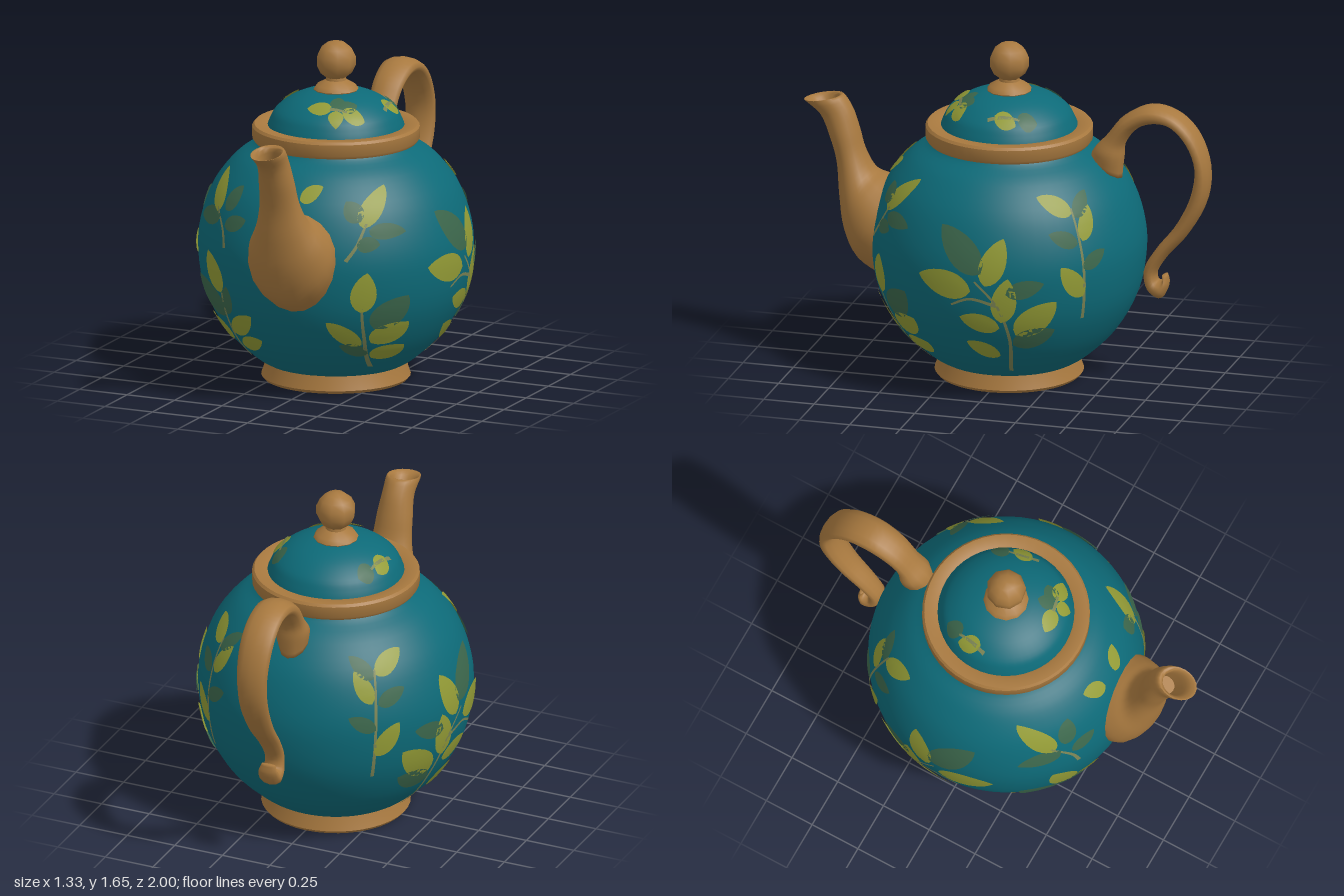
import * as THREE from 'three';
import { toCreasedNormals } from 'three/addons/utils/BufferGeometryUtils.js';

const mat = (name, color, side = THREE.FrontSide) => {
  const m = new THREE.MeshStandardMaterial({ color, side });
  m.name = name;
  return m;
};
const V2 = (p) => new THREE.Vector2(p[0], p[1]);

// Smooth profile from a few [radius, height] points
const profile = (pts, n) => new THREE.SplineCurve(pts.map(V2)).getPoints(n);

// Linear lookup: value of key b where key a equals t
function lookup(points, a, b, t) {
  for (let i = 1; i < points.length; i++) {
    const p = points[i - 1], q = points[i];
    if ((t - p[a]) * (t - q[a]) <= 0 && p[a] !== q[a]) {
      return p[b] + (q[b] - p[b]) * (t - p[a]) / (q[a] - p[a]);
    }
  }
  const f = points[0], l = points[points.length - 1];
  return Math.abs(t - f[a]) < Math.abs(t - l[a]) ? f[b] : l[b];
}

// Skin oval rings: each section is [outer z, outer y, inner z, inner y, half width]
function loft(sections, cx, sides, steps) {
  const at = (k) => new THREE.CatmullRomCurve3(
    sections.map((s) => new THREE.Vector3(s[k], s[k + 1], s[4])), false, 'centripetal');
  const outer = at(0), inner = at(2), pos = [], index = [];
  for (let i = 0; i <= steps; i++) {
    const a = outer.getPoint(i / steps), b = inner.getPoint(i / steps);
    for (let j = 0; j < sides; j++) {
      const t = (j / sides) * Math.PI * 2, c = Math.cos(t) / 2;
      pos.push(cx + (a.z + b.z) / 2 * Math.sin(t),
        (a.y + b.y) / 2 + (a.y - b.y) * c, (a.x + b.x) / 2 + (a.x - b.x) * c);
    }
  }
  for (let i = 0; i < steps; i++) for (let j = 0; j < sides; j++) {
    const k = (j + 1) % sides, p = i * sides, q = p + sides;
    index.push(p + j, p + k, q + k, p + j, q + k, q + j);
  }
  const last = steps * sides;
  for (let j = 1; j < sides - 1; j++) {
    index.push(0, j + 1, j, last, last + j, last + j + 1);
  }
  const g = new THREE.BufferGeometry();
  g.setAttribute('position', new THREE.Float32BufferAttribute(pos, 3));
  g.setIndex(index);
  g.computeVertexNormals();
  return g;
}

// Flat ribbon along 2D points, laid onto a surface by project(u, v)
function ribbon(pts, width, project, rows) {
  const curve = new THREE.SplineCurve(pts.map(V2)), pos = [], index = [], cols = 4;
  for (let i = 0; i <= rows; i++) {
    const s = i / rows, p = curve.getPoint(s), d = curve.getTangent(s), w = width(s);
    for (let j = 0; j <= cols; j++) {
      const k = (j / cols * 2 - 1) * w;
      pos.push(...project(p.x - d.y * k, p.y + d.x * k));
      if (i < rows && j < cols) {
        const a = i * (cols + 1) + j, b = a + cols + 1;
        index.push(a, b, a + 1, b, b + 1, a + 1);
      }
    }
  }
  const g = new THREE.BufferGeometry();
  g.setAttribute('position', new THREE.Float32BufferAttribute(pos, 3));
  g.setIndex(index);
  g.computeVertexNormals();
  return g;
}

export function createModel() {
  const model = new THREE.Group();
  model.name = 'teapot';
  const teal = mat('teal glaze', 0x0d6a78);
  const gold = mat('gold', 0xa8793f, THREE.DoubleSide);
  const lime = mat('light leaf', 0x939b36, THREE.DoubleSide);
  const green = mat('dark leaf', 0x3c674c, THREE.DoubleSide);
  const stemMat = mat('stem', 0x7b8455, THREE.DoubleSide);
  const add = (name, geo, m, parent = model) => {
    const mesh = new THREE.Mesh(geo, m);
    mesh.name = name;
    parent.add(mesh);
    return mesh;
  };
  const lathe = (pts, seg) => new THREE.LatheGeometry(pts, seg);
  const sharpLathe = (pts, seg) => toCreasedNormals(lathe(pts.map(V2), seg), 0.6);

  // Body and lid
  const bodyPts = profile([[0.33, 0.08], [0.4, 0.125], [0.525, 0.25], [0.622, 0.43], [0.657, 0.62],
    [0.645, 0.78], [0.585, 0.95], [0.485, 1.08], [0.39, 1.15], [0.37, 1.18]], 36);
  const lidPts = profile([[0.33, 1.23], [0.315, 1.27], [0.285, 1.32], [0.21, 1.375], [0.11, 1.41], [0.001, 1.42]], 20);
  add('body', lathe(bodyPts, 64), teal);
  add('lid', lathe(lidPts, 48), teal);

  // Foot, rim band and knob
  add('foot', sharpLathe([[0, 0], [0.345, 0], [0.357, 0.015], [0.345, 0.05], [0.335, 0.09], [0.28, 0.1]], 40), gold);
  add('rim', sharpLathe([[0.34, 1.165], [0.39, 1.165], [0.4, 1.18], [0.4, 1.235], [0.39, 1.247],
    [0.335, 1.247], [0.31, 1.23]], 48), gold);
  add('knobNeck', sharpLathe([[0.1, 1.4], [0.108, 1.415], [0.095, 1.435], [0.05, 1.46], [0.045, 1.49], [0.06, 1.51]], 12), gold);
  add('knob', new THREE.SphereGeometry(0.097, 9, 7), gold).position.y = 1.555;

  // Spout, folding inward at the lip to make the mouth
  add('spout', toCreasedNormals(loft([
    [0.58, 0.44, 0.46, 0.95, 0.2], [0.72, 0.53, 0.55, 0.94, 0.218], [0.79, 0.67, 0.6, 0.95, 0.19],
    [0.82, 0.84, 0.65, 0.97, 0.138], [0.835, 1.0, 0.7, 1.06, 0.1], [0.87, 1.12, 0.73, 1.17, 0.088],
    [0.92, 1.23, 0.765, 1.27, 0.076], [1.0, 1.295, 0.81, 1.33, 0.078], [0.96, 1.28, 0.83, 1.315, 0.06],
    [0.88, 1.18, 0.79, 1.21, 0.045],
  ], 0.06, 20, 36), 0.9), gold);

  // Handle with a curl at its lower end
  add('handle', loft([
    [-0.40, 1.12, -0.56, 1.02, 0.07], [-0.43, 1.17, -0.57, 1.12, 0.085], [-0.485, 1.23, -0.575, 1.19, 0.075],
    [-0.57, 1.335, -0.63, 1.27, 0.08], [-0.7, 1.4, -0.71, 1.31, 0.085], [-0.83, 1.375, -0.8, 1.305, 0.085],
    [-0.935, 1.28, -0.88, 1.23, 0.085], [-0.995, 1.12, -0.925, 1.11, 0.08], [-0.985, 0.95, -0.905, 0.97, 0.075],
    [-0.89, 0.77, -0.83, 0.81, 0.065], [-0.78, 0.64, -0.73, 0.68, 0.055], [-0.735, 0.56, -0.67, 0.57, 0.05],
    [-0.74, 0.525, -0.69, 0.47, 0.055], [-0.755, 0.525, -0.755, 0.435, 0.06], [-0.765, 0.53, -0.79, 0.5, 0.05],
    [-0.76, 0.55, -0.785, 0.555, 0.035],
  ], -0.003, 12, 64), gold);

  // Lay a drawing onto the body, seen from the given azimuth; m = -1 mirrors it
  const onBody = (azimuth, m) => (u, v) => {
    const r = lookup(bodyPts, 'y', 'x', v) + 0.009;
    const d = Math.sqrt(Math.max(r * r - u * u, 0));
    const c = Math.cos(azimuth), s = Math.sin(azimuth);
    return [m * (u * c + d * s), v, d * c - u * s];
  };
  const onLid = (m) => (x, z) => [m * x, lookup(lidPts, 'x', 'y', Math.hypot(x, z)) + 0.009, z];

  // Sprig: leaves are [base u, base v, tip u, tip v, dark?], stems are point lists
  const sprig = (name, project, leaves, stems = []) => {
    const group = new THREE.Group();
    group.name = name;
    model.add(group);
    for (const s of stems) add('stem', ribbon(s, (t) => 0.009 - 0.004 * t, project, 12), stemMat, group);
    for (const [a, b, c, d, dark] of leaves) {
      const w = Math.max(0.036, 0.25 * Math.hypot(c - a, d - b));
      const shape = (t) => w * Math.sin(Math.PI * Math.pow(t, 0.85)) + 0.001;
      add('leaf', ribbon([[a, b], [c, d]], shape, project, 10), dark ? green : lime, group);
    }
  };

  // Front sprigs, beside the spout
  sprig('frontLeftSprig', onBody(0, 1), [
    [0.375, 0.47, 0.41, 0.67], [0.41, 0.38, 0.55, 0.54, 1], [0.34, 0.29, 0.22, 0.42],
    [0.38, 0.3, 0.53, 0.4], [0.35, 0.24, 0.25, 0.29, 1], [0.35, 0.21, 0.48, 0.27],
    [0.38, 0.88, 0.4, 1.06], [0.4, 0.87, 0.53, 0.85, 1], [0.36, 0.91, 0.28, 1.0, 1], [0.36, 0.81, 0.45, 0.8, 1],
  ], [[[0.32, 0.15], [0.36, 0.32], [0.38, 0.49]], [[0.32, 0.73], [0.36, 0.8], [0.385, 0.9]]]);
  sprig('frontRightSprig', onBody(0, 1), [
    [-0.35, 0.5, -0.44, 0.69], [-0.34, 0.38, -0.54, 0.54, 1], [-0.32, 0.29, -0.17, 0.41],
    [-0.34, 0.25, -0.52, 0.33], [-0.29, 0.22, -0.14, 0.28], [-0.325, 0.39, -0.31, 0.54, 1],
    [-0.4, 0.88, -0.42, 1.06], [-0.37, 0.87, -0.53, 0.83, 1], [-0.34, 0.9, -0.26, 1.02, 1], [-0.33, 0.83, -0.2, 0.88, 1],
  ], [[[-0.29, 0.15], [-0.33, 0.32], [-0.345, 0.5]], [[-0.32, 0.73], [-0.34, 0.81], [-0.4, 0.9]]]);
  sprig('spoutLeaves', onBody(0, 1), [[-0.02, 1.01, -0.13, 1.06], [0.07, 1.0, 0.16, 1.06]]);

  // Side, back and lid sprigs, mirrored left and right
  for (const m of [1, -1]) {
    const side = m > 0 ? 'left' : 'right';
    sprig(side + 'SideSprig', onBody(Math.PI / 2, m), [
      [0.05, 0.7, -0.16, 0.91, 1], [0.07, 0.64, 0.15, 0.87], [0, 0.61, -0.27, 0.66],
      [0.14, 0.45, 0.18, 0.68], [0.13, 0.42, -0.06, 0.47], [0.2, 0.38, 0.39, 0.55],
      [0.18, 0.32, 0.37, 0.4, 1], [0.11, 0.25, -0.04, 0.33], [0.17, 0.6, 0.34, 0.65, 1],
    ], [[[0.13, 0.14], [0.17, 0.34], [0.13, 0.53], [0.02, 0.66]], [[0.12, 0.54], [0, 0.57], [-0.1, 0.53]]]);
    sprig(side + 'BackSprig', onBody(Math.PI * 0.76, m), [
      [0, 0.96, -0.15, 1.04], [0.01, 0.94, 0.11, 1.04, 1], [0, 0.82, -0.14, 0.88, 1],
      [0.03, 0.83, 0.1, 0.98], [0.02, 0.7, 0.15, 0.77, 1], [0.02, 0.56, -0.1, 0.72],
    ], [[[0.03, 0.44], [0.02, 0.72], [0, 0.98]]]);
    sprig(side + 'LidSprig', onLid(m), [
      [0.25, 0.0, 0.27, -0.11], [0.24, -0.11, 0.21, -0.2, 1],
    ], [[[0.27, 0.03], [0.25, -0.05], [0.24, -0.12]]]);
  }
  sprig('frontLidSprig', onLid(1), [
    [0.08, 0.22, -0.04, 0.235], [0.1, 0.21, 0.08, 0.13, 1], [0.13, 0.21, 0.235, 0.18],
    [0.12, 0.2, 0.17, 0.13, 1], [0.1, 0.22, 0.13, 0.28],
  ], [[[0.07, 0.22], [0.11, 0.21], [0.15, 0.2]]]);
  return model;
}
